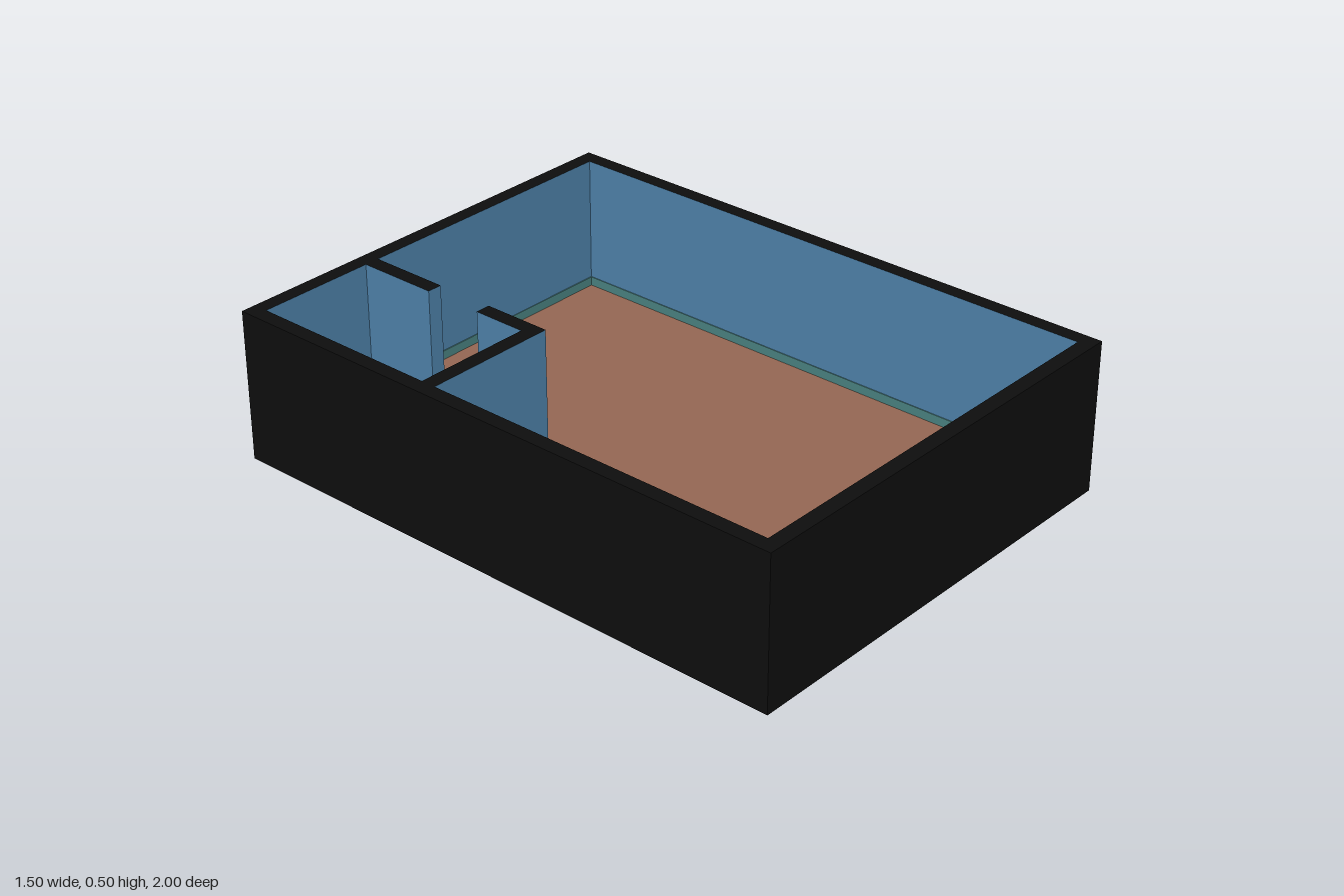
import * as THREE from 'three';

const mat = (name, color) => {
  const m = new THREE.MeshStandardMaterial({ color });
  m.name = name;
  return m;
};

export function createModel() {
  const model = new THREE.Group();
  model.name = 'openRoofBuilding';

  const black = mat('black', 0x0e0e0e);
  const blue = mat('wallBlue', 0x4e82aa);
  const brown = mat('floorBrown', 0x956753);
  const teal = mat('skirtingTeal', 0x4a8280);

  const H = 0.5, FLOOR = 0.05, SKIRT = 0.03, T = 0.003;

  // Box given by its limits; face materials run +x, -x, +y, -y, +z, -z
  const block = (name, [x0, x1], [y0, y1], [z0, z1], material, parent = model) => {
    const mesh = new THREE.Mesh(new THREE.BoxGeometry(x1 - x0, y1 - y0, z1 - z0), material);
    mesh.position.set((x0 + x1) / 2, (y0 + y1) / 2, (z0 + z1) / 2);
    mesh.name = name;
    parent.add(mesh);
    return mesh;
  };

  // Floor slab, brown on top
  block('floor', [-0.7, 0.7], [0.002, FLOOR], [-0.95, 0.95],
    [black, black, brown, black, black, black]);

  // Blue panel on the underside
  const panel = new THREE.Mesh(new THREE.PlaneGeometry(0.4, 1.2), blue);
  panel.rotation.x = Math.PI / 2;
  panel.position.set(-0.5, 0, 0.35);
  panel.name = 'undersidePanel';
  model.add(panel);

  // Outer walls: black outside, blue on the inner face
  const innerBlue = (face) => Array.from({ length: 6 }, (_, i) => (i === face ? blue : black));
  block('leftWall', [0.7, 0.75], [0, H], [-1, 1], innerBlue(1));
  block('rightWall', [-0.75, -0.7], [0, H], [-1, 1], innerBlue(0));
  block('frontWall', [-0.7, 0.7], [0, H], [0.95, 1], innerBlue(5));
  block('backWall', [-0.7, 0.7], [0, H], [-1, -0.95], innerBlue(4));

  // Partitions of the small corner room, with a doorway between the side pieces
  const partition = [blue, blue, black, black, blue, blue];
  const partitions = [
    ['roomFrontWall', [-0.7, -0.25], [-0.3, -0.25]],
    ['roomSideWallFront', [-0.3, -0.25], [-0.3, -0.48]],
    ['roomSideWallBack', [-0.3, -0.25], [-0.95, -0.68]],
  ];
  const skirting = new THREE.Group();
  skirting.name = 'skirting';
  model.add(skirting);
  const skirtY = [FLOOR, FLOOR + SKIRT];
  for (const [name, x, zEnds] of partitions) {
    const z = [Math.min(...zEnds), Math.max(...zEnds)];
    block(name, x, [FLOOR, H], z, partition);
    block(name + 'Skirting', [x[0] - T, x[1] + T], skirtY, [z[0] - T, z[1] + T], teal, skirting);
  }

  // Skirting along the outer walls
  for (const s of [-1, 1]) {
    const side = s > 0 ? [0.7 - T, 0.7] : [-0.7, -0.7 + T];
    const end = s > 0 ? [0.95 - T, 0.95] : [-0.95, -0.95 + T];
    block('sideSkirting', side, skirtY, [-0.95, 0.95], teal, skirting);
    block('endSkirting', [-0.7, 0.7], skirtY, end, teal, skirting);
  }

  return model;
}
